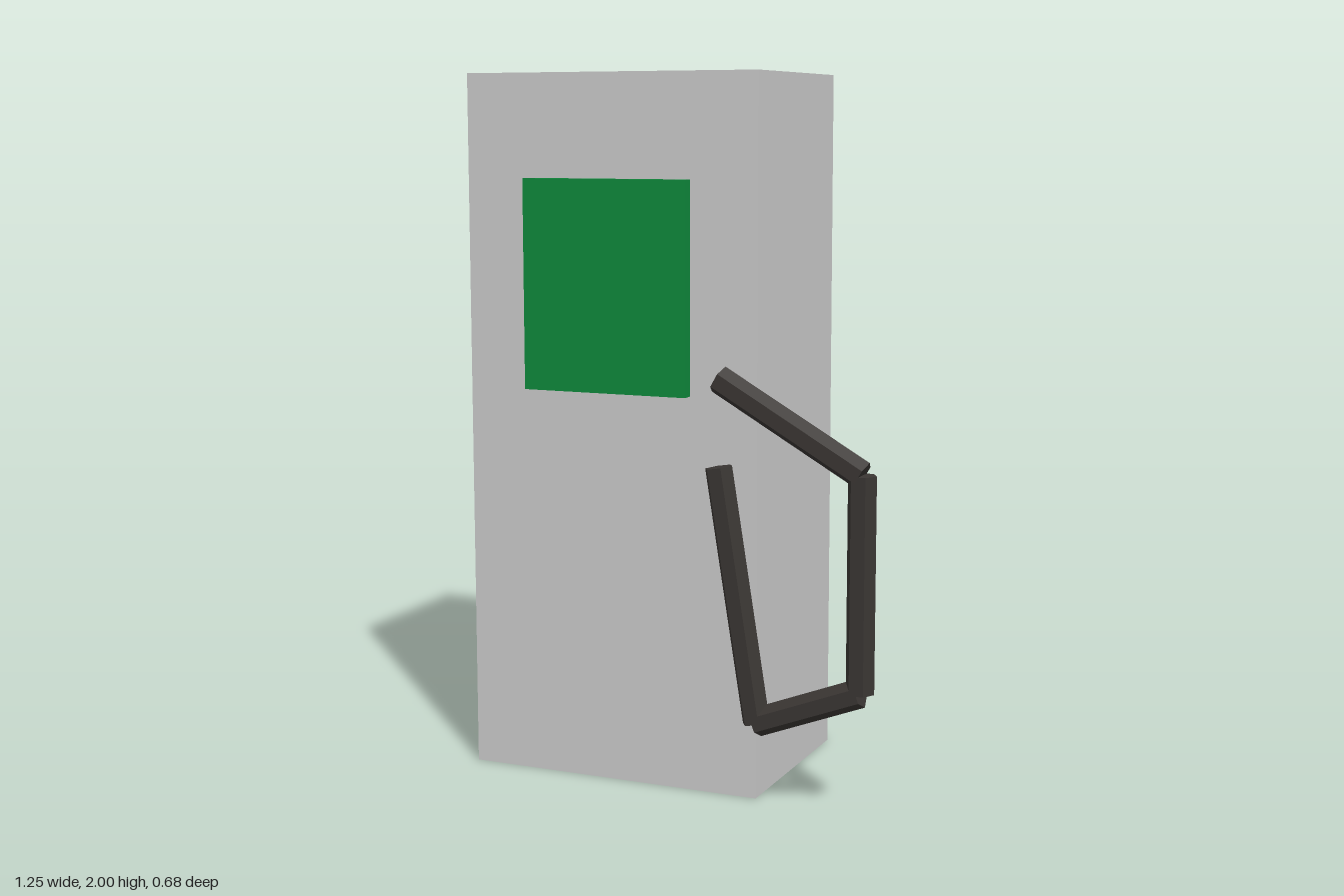
import * as THREE from 'three';

export function createModel() {
  const model = new THREE.Group();
  const grey = new THREE.MeshStandardMaterial({ color: 0xcccccc });
  const green = new THREE.MeshStandardMaterial({ color: 0x0f8a3c });
  const rubber = new THREE.MeshStandardMaterial({ color: 0x3a3633, flatShading: true });

  // Box spanning two opposite corners
  function addBox(name, min, max, material) {
    const size = max.map((v, i) => v - min[i]);
    const mesh = new THREE.Mesh(new THREE.BoxGeometry(...size), material);
    mesh.position.set(...max.map((v, i) => (v + min[i]) / 2));
    mesh.name = name;
    model.add(mesh);
  }

  // Cabinet and the screen panel just in front of it
  addBox('cabinet', [-0.625, 0, -0.345], [0.257, 2, 0.244], grey);
  addBox('screenPanel', [-0.43, 1.12, 0.25], [0.062, 1.71, 0.287], green);

  // Hose: straight hexagonal lengths joined end to end
  const hose = new THREE.Group();
  hose.name = 'hose';
  const path = [[0.17, 1.18], [0.58, 0.945], [0.58, 0.355], [0.283, 0.24], [0.17, 0.94]]
    .map(([x, y]) => new THREE.Vector3(x, y, 0.305));
  const up = new THREE.Vector3(0, 1, 0);
  for (let i = 0; i < path.length - 1; i++) {
    const along = path[i].clone().sub(path[i + 1]);
    if (along.y < 0) along.negate();
    // Hexagon flats face front and back
    const geometry = new THREE.CylinderGeometry(0.04, 0.04, along.length(), 6, 1, false, Math.PI / 2);
    const segment = new THREE.Mesh(geometry, rubber);
    segment.position.copy(path[i]).lerp(path[i + 1], 0.5);
    segment.quaternion.setFromUnitVectors(up, along.normalize());
    segment.name = `hoseSegment${i + 1}`;
    hose.add(segment);
  }
  model.add(hose);

  return model;
}
